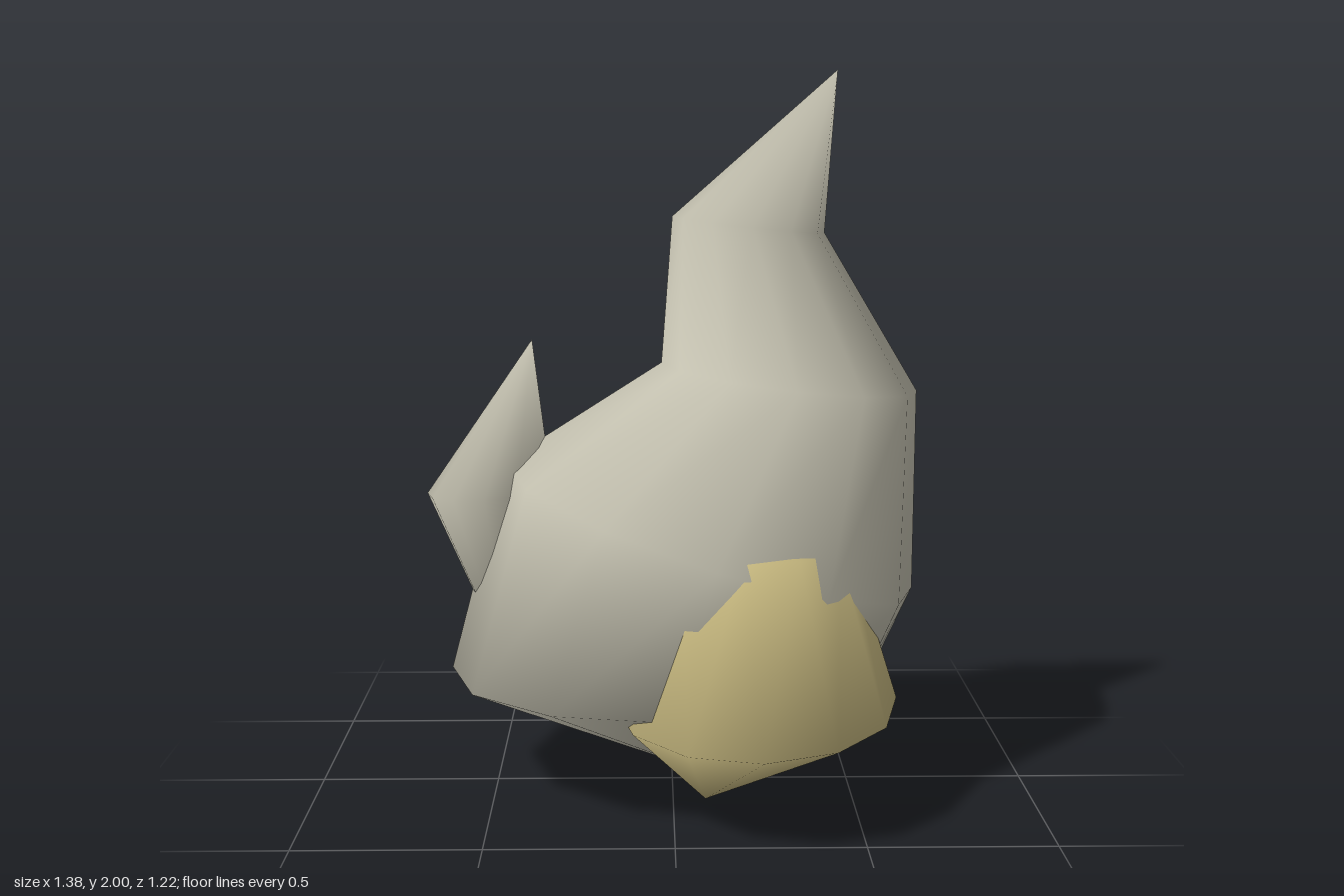
import * as THREE from 'three';

const SIDES = 12;

const stone = new THREE.MeshStandardMaterial({ color: 0xc4c1b0 });
stone.name = 'pale grey';
const sand = new THREE.MeshStandardMaterial({ color: 0xcfc085 });
sand.name = 'sand yellow';

// A closed skin through tilted elliptical rings, pointed at both ends.
// ring: left/right rim points in x and y, centre z, half depth, and rise of the front rim.
function pointedShell(name, material, bottom, rings, top) {
  const positions = [...bottom];
  const index = [];
  for (const { left, right, z, depth, frontRise = 0 } of rings) {
    const cx = (left[0] + right[0]) / 2, cy = (left[1] + right[1]) / 2;
    const rx = (right[0] - left[0]) / 2, ry = (right[1] - left[1]) / 2;
    for (let j = 0; j < SIDES; j++) {
      const a = (j / SIDES) * Math.PI * 2;
      const c = Math.cos(a), s = Math.sin(a);
      positions.push(cx + rx * c, cy + ry * c + frontRise * s, z + depth * s);
    }
  }
  positions.push(...top);
  const last = positions.length / 3 - 1;
  const at = (i, j) => 1 + i * SIDES + (j % SIDES);
  for (let j = 0; j < SIDES; j++) {
    index.push(0, at(0, j), at(0, j + 1));
    for (let i = 0; i < rings.length - 1; i++) {
      index.push(at(i, j), at(i + 1, j), at(i, j + 1));
      index.push(at(i, j + 1), at(i + 1, j), at(i + 1, j + 1));
    }
    index.push(at(rings.length - 1, j), last, at(rings.length - 1, j + 1));
  }
  const geometry = new THREE.BufferGeometry();
  geometry.setAttribute('position', new THREE.Float32BufferAttribute(positions, 3));
  geometry.setIndex(index);
  geometry.computeVertexNormals();
  const mesh = new THREE.Mesh(geometry, material);
  mesh.name = name;
  return mesh;
}

export function createModel() {
  const group = new THREE.Group();
  group.name = 'pointedGourd';

  // Swollen body leaning into a pointed neck
  group.add(pointedShell('body', stone, [0.09, 0, -0.05], [
    { left: [-0.63, 0.32], right: [0.59, 0.34], z: -0.05, depth: 0.52 },
    { left: [-0.47, 0.92], right: [0.685, 0.55], z: -0.05, depth: 0.555 },
    { left: [-0.03, 1.2], right: [0.685, 1.12], z: -0.05, depth: 0.31 },
    { left: [0, 1.605], right: [0.42, 1.56], z: -0.05, depth: 0.19 },
  ], [0.45, 2, -0.05]));

  // Small pointed bud on the side
  group.add(pointedShell('sideBud', stone, [-0.46, 0.3, -0.05], [
    { left: [-0.69, 0.83], right: [-0.34, 0.85], z: -0.05, depth: 0.162 },
  ], [-0.39, 1.265, -0.05]));

  // Bulging yellow lobe at the lower front
  group.add(pointedShell('frontLobe', sand, [0.09, 0, 0.16], [
    { left: [-0.16, 0.3], right: [0.605, 0.32], z: 0.24, depth: 0.37, frontRise: -0.04 },
    { left: [-0.13, 0.75], right: [0.47, 0.75], z: 0.225, depth: 0.25 },
  ], [0.12, 0.8, 0.2]));

  return group;
}
